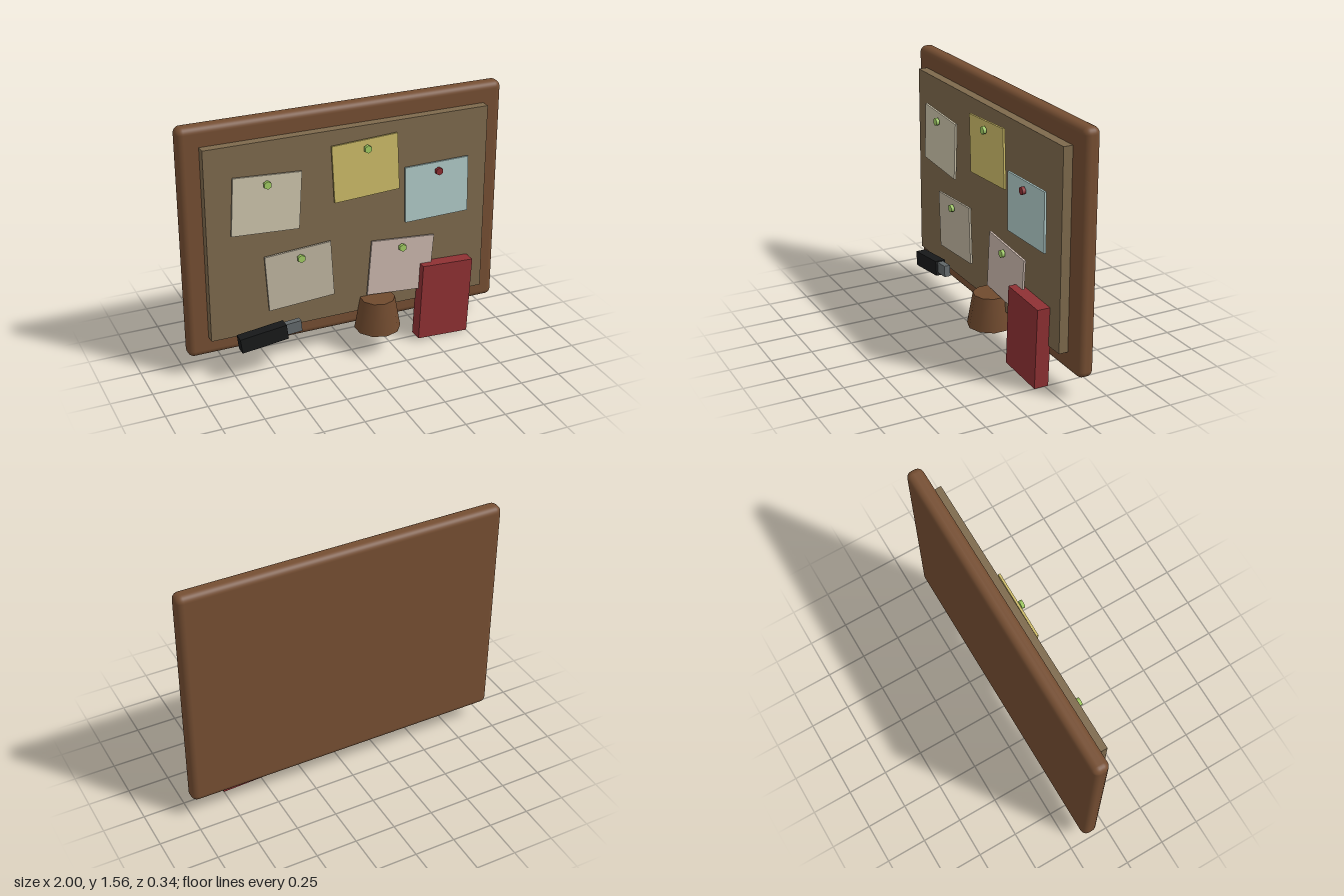
import * as THREE from 'three';
import { RoundedBoxGeometry } from 'three/addons/geometries/RoundedBoxGeometry.js';

export function createModel() {
  const root = new THREE.Group();

  const add = (name, geometry, color, x, y, z, tilt = 0) => {
    const mesh = new THREE.Mesh(geometry, new THREE.MeshStandardMaterial({ color }));
    mesh.name = name;
    mesh.position.set(x, y, z);
    mesh.rotation.z = tilt;
    root.add(mesh);
    return mesh;
  };
  const box = (w, h, d) => new THREE.BoxGeometry(w, h, d);

  // Rounded wooden frame and the raised cork panel
  add('frame', new RoundedBoxGeometry(2, 1.425, 0.1, 4, 0.04), 0x754e32, 0, 0.847, -0.118);
  add('corkPanel', box(1.757, 1.185, 0.058), 0x7d694c, 0, 0.848, -0.041);

  // Paper notes, each with a six-sided pin near its top edge
  const pinGeometry = new THREE.CylinderGeometry(0.024, 0.024, 0.02, 6).rotateX(Math.PI / 2);
  const green = 0xa0cc62, red = 0x8c2c30;
  const notes = [
    [-0.527, 1.075, -0.06, 0xcdc4ab, green],
    [0.083, 1.19, 0.05, 0xcdbb68, green],
    [0.542, 0.976, 0.018, 0xb0cac8, red],
    [-0.334, 0.581, 0.06, 0xbfb5a0, green],
    [0.313, 0.523, -0.08, 0xcab7ac, green],
  ];
  notes.forEach(([x, y, tilt, paper, pin], i) => {
    add('note' + (i + 1), box(0.41, 0.35, 0.013), paper, x, y, 0.012, tilt);
    add('pin' + (i + 1), pinGeometry, pin, x, y + 0.125, 0.039);
  });

  // Marker with its grey tip
  add('markerBody', box(0.288, 0.092, 0.065), 0x18191a, -0.59, 0.259, 0.06, 0.12);
  add('markerTip', box(0.1, 0.07, 0.038), 0x62686a, -0.403, 0.285, 0.06, 0.08);

  // Tapered cup
  add('cup', new THREE.CylinderGeometry(0.105, 0.14, 0.2, 10), 0x704a2e, 0.157, 0.245, 0.028);

  // Red book
  add('book', box(0.332, 0.49, 0.088), 0x8e3033, 0.597, 0.253, 0.022, -0.045);

  return root;
}
